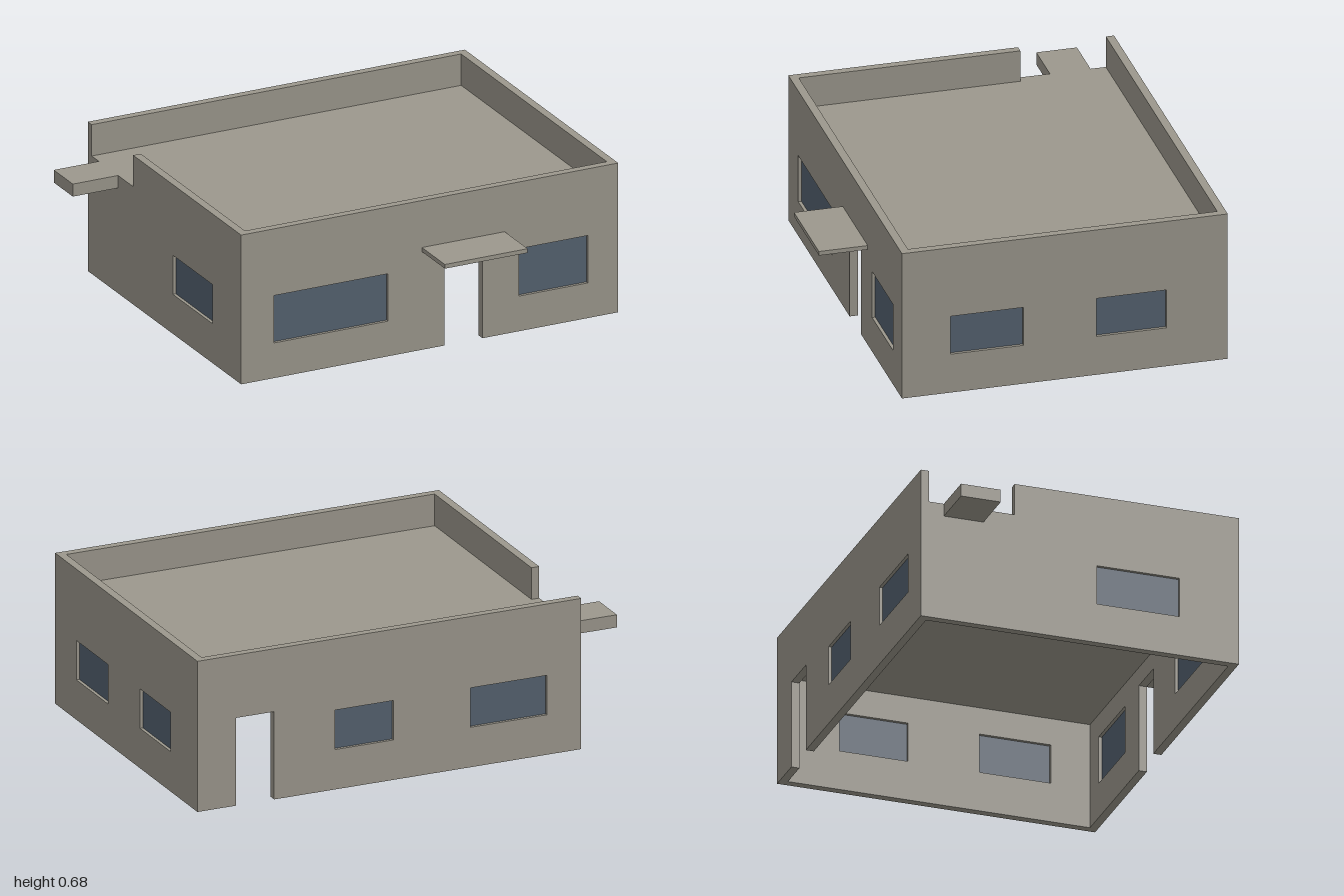
import * as THREE from 'three';

const H = 0.68, T = 0.036;                      // wall height and thickness
const X0 = -0.786, X1 = 1, Z0 = -0.821, Z1 = 0.607; // outer faces of the building
const ROOF = 0.537, ROOF_BASE = 0.48, DOOR_TOP = 0.396;

export function createModel() {
  const model = new THREE.Group();
  const concrete = new THREE.MeshStandardMaterial({ color: 0x9c988d });
  concrete.name = 'concrete';
  const glass = new THREE.MeshStandardMaterial({ color: 0x556270 });
  glass.name = 'window glass';

  // Box given by its limits on each axis
  function slab(name, xa, xb, ya, yb, za, zb) {
    const mesh = new THREE.Mesh(new THREE.BoxGeometry(xb - xa, yb - ya, zb - za), concrete);
    mesh.position.set((xa + xb) / 2, (ya + yb) / 2, (za + zb) / 2);
    mesh.name = name;
    model.add(mesh);
  }

  // Wall drawn flat from an outline, with window openings [a, b, bottom, top] and recessed panes
  function wall(name, outline, windows) {
    const group = new THREE.Group();
    group.name = name;
    const shape = new THREE.Shape(outline.map(([x, y]) => new THREE.Vector2(x, y)));
    for (const [a, b, lo, hi] of windows) {
      shape.holes.push(new THREE.Path([[a, lo], [a, hi], [b, hi], [b, lo]].map(([x, y]) => new THREE.Vector2(x, y))));
      const pane = new THREE.Mesh(new THREE.BoxGeometry(b - a, hi - lo, 0.008), glass);
      pane.position.set((a + b) / 2, (lo + hi) / 2, T / 2);
      pane.name = 'windowPane';
      group.add(pane);
    }
    const body = new THREE.Mesh(new THREE.ExtrudeGeometry(shape, { depth: T, bevelEnabled: false }), concrete);
    body.name = name + 'Body';
    group.add(body);
    model.add(group);
    return group;
  }

  // Outline of a long wall with a doorway cut up from the ground
  const withDoor = (a, b) => [[X0, 0], [a, 0], [a, DOOR_TOP], [b, DOOR_TOP], [b, 0], [X1, 0], [X1, H], [X0, H]];

  // Front and back walls
  wall('frontWall', withDoor(0.178, 0.357), [[-0.63, -0.09, 0.16, 0.376], [0.53, 0.856, 0.16, 0.376]])
    .position.z = Z1 - T;
  wall('backWall', withDoor(0.643, 0.821), [[0.088, 0.36, 0.18, 0.358], [-0.627, -0.27, 0.18, 0.358]])
    .position.z = Z0;

  // Side walls fit between them; the right parapet is open above the landing
  const za = Z0 + T, zb = Z1 - T;
  const left = wall('leftWall', [[za, 0], [zb, 0], [zb, H], [za, H]],
    [[0.075, 0.395, 0.18, 0.358], [-0.553, -0.245, 0.18, 0.358]]);
  left.position.x = X1;
  const right = wall('rightWall', [[za, 0], [zb, 0], [zb, H], [-0.4, H], [-0.4, ROOF], [za, ROOF]],
    [[-0.03, 0.34, 0.18, 0.358]]);
  right.position.x = X0 + T;
  for (const side of [left, right]) side.rotation.y = -Math.PI / 2;

  // Roof, side landing and door canopy
  slab('roofSlab', X0 + T, X1 - T, ROOF_BASE, ROOF, za, zb);
  slab('sideLanding', -1, X0, ROOF_BASE, ROOF, -0.718, -0.54);
  slab('doorCanopy', 0.07, 0.462, 0.447, 0.466, Z1, 0.821);

  return model;
}
